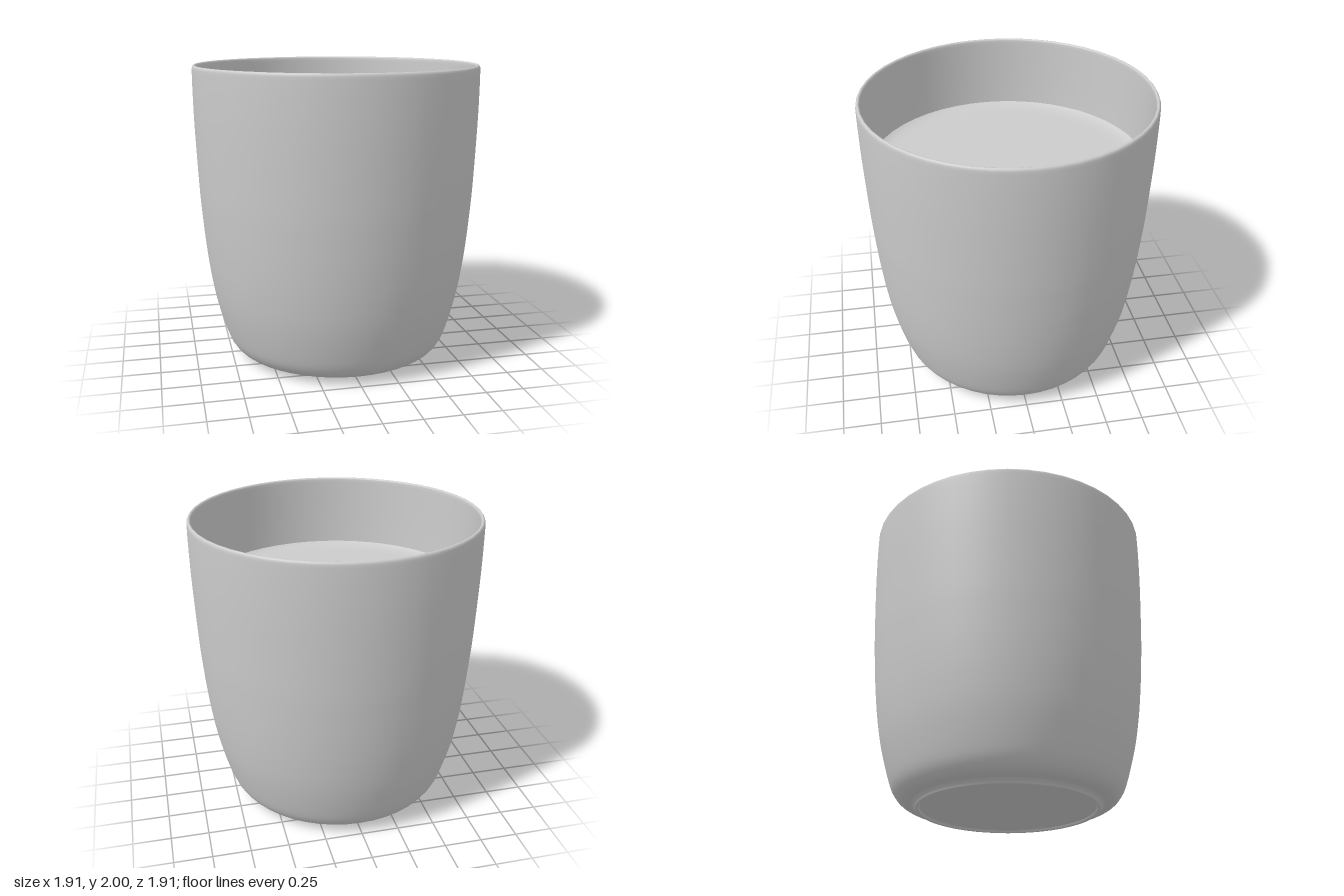
import * as THREE from 'three';

const SEGMENTS = 48;

function curve(points, divisions) {
  return new THREE.SplineCurve(points.map(([r, y]) => new THREE.Vector2(r, y))).getPoints(divisions);
}

function lathe(name, points) {
  const material = new THREE.MeshStandardMaterial({ color: 0xcccccc, side: THREE.DoubleSide });
  const mesh = new THREE.Mesh(new THREE.LatheGeometry(points, SEGMENTS), material);
  mesh.name = name;
  return mesh;
}

export function createModel() {
  const group = new THREE.Group();
  group.name = 'cup';

  // Outer wall: from the step above the foot up to the rim
  const outer = curve([
    [0.62, 0.03], [0.69, 0.045], [0.745, 0.1], [0.787, 0.2], [0.842, 0.4], [0.878, 0.6],
    [0.903, 0.8], [0.921, 1.0], [0.935, 1.2], [0.952, 1.6], [0.957, 1.85], [0.957, 1.98],
  ], 48);

  // Rounded rim
  const rim = curve([[0.955, 1.99], [0.948, 2], [0.938, 2], [0.931, 1.99]], 6);

  // Inner wall running down to the inside floor
  const inner = curve([
    [0.93, 1.97], [0.92, 1.5], [0.89, 1.0], [0.845, 0.6], [0.76, 0.24], [0.66, 0.12], [0.5, 0.1], [0, 0.1],
  ], 24);
  group.add(lathe('cupBody', [...outer, ...rim, ...inner]));

  // Foot ring with a shallow recess inside it
  group.add(lathe('footRing', curve([
    [0.572, 0.015], [0.58, 0.003], [0.588, 0], [0.598, 0.002], [0.606, 0.015], [0.625, 0.03],
  ], 12)));

  const base = new THREE.Mesh(
    new THREE.CircleGeometry(0.572, SEGMENTS),
    new THREE.MeshStandardMaterial({ color: 0xcccccc }),
  );
  base.name = 'base';
  base.rotation.x = Math.PI / 2;
  base.position.y = 0.015;
  group.add(base);

  // Filling, its surface curling up slightly where it meets the wall
  group.add(lathe('filling', [
    [0.921, 1.515], [0.9, 1.503], [0.87, 1.495], [0.83, 1.491], [0.78, 1.49], [0.4, 1.49], [0, 1.49],
  ].map(([r, y]) => new THREE.Vector2(r, y))));

  return group;
}
